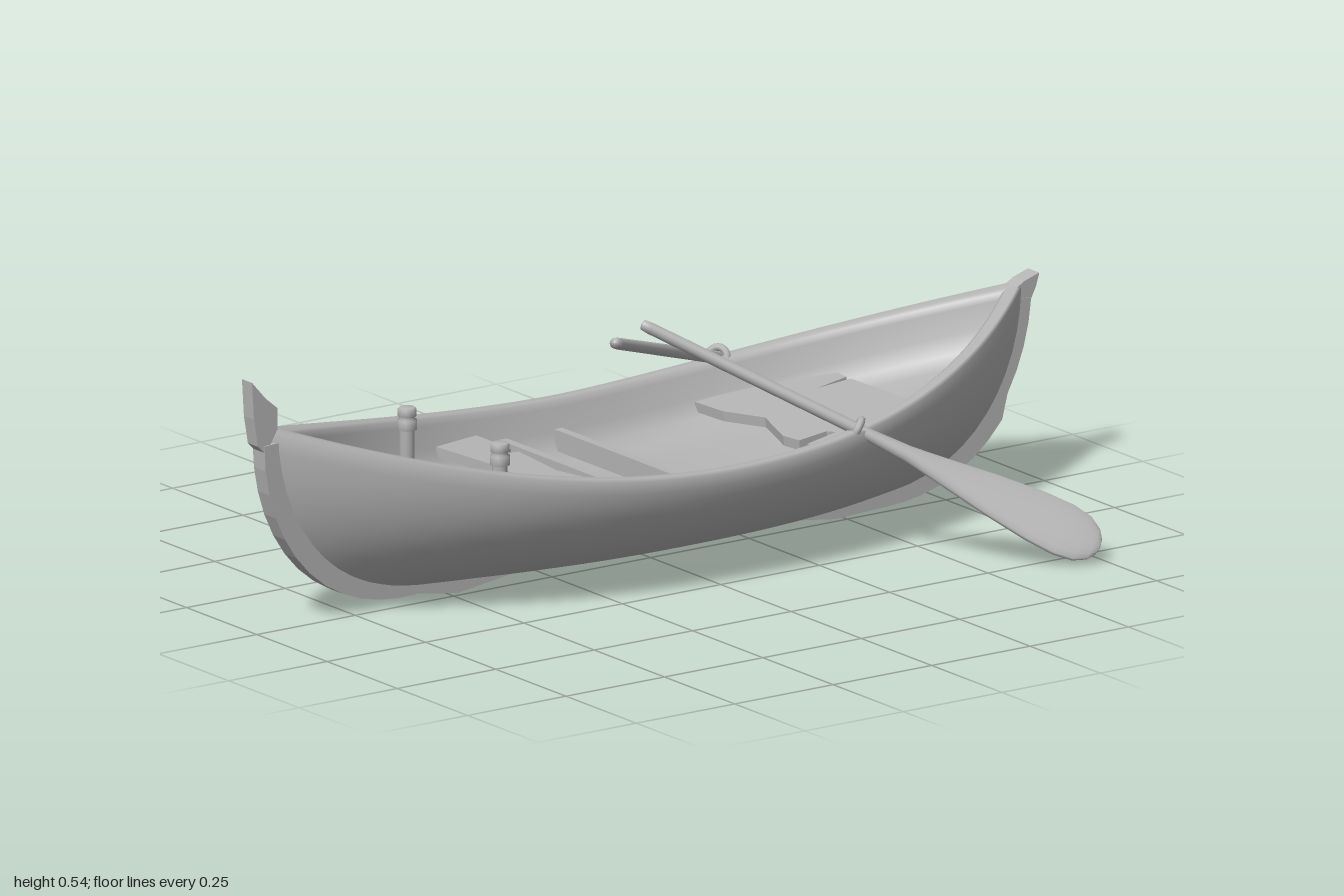
import * as THREE from 'three';

const wood = new THREE.MeshStandardMaterial({ color: 0xb4b4b4 });
wood.name = 'grey wood';
const MID = -0.035; // z of the boat's centreline
const V = (x, y, z) => new THREE.Vector3(x, y, z);

const sheer = x => 0.26 + 0.172 * Math.pow(Math.abs(x - 0.01) / 0.97, 1.9);

// Skin a grid of points; row direction x column direction points outward
function loft(rows) {
  const n = rows[0].length, index = [];
  for (let r = 0; r < rows.length - 1; r++)
    for (let c = 0; c < n - 1; c++) {
      const a = r * n + c, b = a + n;
      index.push(a, b, a + 1, b, b + 1, a + 1);
    }
  const g = new THREE.BufferGeometry().setFromPoints(rows.flat());
  g.setIndex(index);
  g.computeVertexNormals();
  return g;
}

function add(parent, name, geometry, x = 0, y = 0, z = 0) {
  const m = new THREE.Mesh(geometry, wood);
  m.name = name;
  m.position.set(x, y, z);
  parent.add(m);
  return m;
}

// Side outline [x, y] given a thickness across the boat
function slab(points, width) {
  const s = new THREE.Shape(points.map(p => new THREE.Vector2(...p)));
  return new THREE.ExtrudeGeometry(s, { depth: width, bevelEnabled: false }).translate(0, 0, -width / 2);
}

// Plan outline [x, z] given a thickness upward
function board(points, thick) {
  const s = new THREE.Shape(points.map(([x, z]) => new THREE.Vector2(x, -z)));
  return new THREE.ExtrudeGeometry(s, { depth: thick, bevelEnabled: false }).rotateX(-Math.PI / 2);
}

// Hull profile at depth angle a (0 = rim, PI/2 = bottom)
const endX = (side, a) => (side < 0 ? -0.58 - 0.38 * Math.cos(a) : 0.6 + 0.375 * Math.cos(a));
const hullY = (x, a) => THREE.MathUtils.lerp(sheer(x), 0.03, Math.sin(a));

function hullGeometry() {
  // Inner lines from the floor to the rim: end, end, half width, height against the sheer
  const inner = [
    [-0.55, 0.57, 0, -0.115], [-0.68, 0.7, 0.13, -0.115], [-0.79, 0.82, 0.235, -0.112],
    [-0.835, 0.87, 0.268, -0.095], [-0.858, 0.895, 0.286, -0.06], [-0.875, 0.91, 0.3, -0.012],
    [-0.882, 0.917, 0.306, 0.001], [-0.895, 0.93, 0.312, 0.005], [-0.945, 0.965, 0.332, 0.005],
  ];
  const lines = inner.map(([x0, x1, w, dy]) => ({ x0, x1, w, y: x => sheer(x) + dy }));
  for (let i = 0; i <= 14; i++) {
    const a = (i / 14) * Math.PI / 2;
    lines.push({ x0: endX(-1, a), x1: endX(1, a), w: 0.342 * Math.cos(a), y: x => hullY(x, a) });
  }
  const row = (l, side) => Array.from({ length: 65 }, (_, i) => {
    const u = Math.sin((i / 32 - 1) * Math.PI / 2);
    const x = THREE.MathUtils.lerp(l.x0, l.x1, (u + 1) / 2);
    return V(x, l.y(x), MID + side * l.w * (1 - Math.pow(Math.abs(u), 2.5)));
  });
  return loft([...lines.map(l => row(l, 1)), ...lines.slice(0, -1).reverse().map(l => row(l, -1))]);
}

// Band that follows the end of the hull and runs under the bottom
function keelBand(side, proud) {
  const outer = [], inside = [];
  for (let i = 0; i <= 12; i++) {
    const a = 0.08 + (i / 12) * (Math.PI / 2 - 0.08);
    const x = endX(side, a), y = hullY(x, a);
    const off = proud(i / 12);
    outer.push([x + side * off * Math.cos(a), y - off * Math.sin(a)]);
    inside.push([x - side * 0.03 * Math.cos(a), y + 0.02 * Math.sin(a)]);
  }
  outer.push([side * 0.48, 0.003], [side * 0.34, 0.022]);
  inside.push([side * 0.34, 0.035]);
  return slab([...outer, ...inside.reverse()], 0.042);
}

// Oar from grip to blade tip; the blade is turned about the shaft
function buildOar(name, grip, tip, lockAt, side) {
  const oar = new THREE.Group();
  oar.name = name;
  const d = tip.clone().sub(grip), dir = d.clone().normalize();
  const h = dir.clone().cross(V(0, 1, 0)).normalize().multiplyScalar(side);
  const up = V(0, 1, 0).addScaledVector(dir, -dir.y).normalize();
  const wide = h.multiplyScalar(-0.59).addScaledVector(up, 0.81).normalize();
  const thin = wide.clone().cross(dir);
  // Along the oar: fraction, half width, half thickness
  const sections = [
    [0, 0, 0], [0.003, 0.011, 0.011], [0.02, 0.0125, 0.0125], [0.5, 0.0135, 0.0135], [0.58, 0.018, 0.014],
    [0.66, 0.03, 0.012], [0.76, 0.046, 0.011], [0.86, 0.058, 0.01], [0.92, 0.06, 0.01],
    [0.96, 0.053, 0.009], [0.985, 0.037, 0.008], [0.997, 0.018, 0.006], [1, 0, 0],
  ];
  add(oar, name + 'Shaft', loft(sections.map(([s, w, t]) => Array.from({ length: 17 }, (_, i) => {
    const q = (i / 16) * Math.PI * 2;
    return grip.clone().addScaledVector(d, s)
      .addScaledVector(wide, w * Math.cos(q)).addScaledVector(thin, t * Math.sin(q));
  }))));
  // Ring and pin that hold the shaft on the rim
  const p = grip.clone().addScaledVector(d, lockAt);
  const ring = add(oar, 'oarlockRing', new THREE.TorusGeometry(0.022, 0.008, 8, 20), p.x, p.y, p.z);
  ring.quaternion.setFromUnitVectors(V(0, 0, 1), dir);
  add(oar, 'oarlockPin', new THREE.CylinderGeometry(0.008, 0.008, 0.05, 10), p.x, p.y - 0.042, p.z);
  return oar;
}

export function createModel() {
  const boat = new THREE.Group();
  boat.name = 'rowingBoat';
  add(boat, 'hull', hullGeometry());

  // Keel bands, the stern one worn away in its upper part
  add(boat, 'bowKeelBand', keelBand(-1, t => 0.012 + 0.014 * Math.sin(t * Math.PI)), 0, 0, MID);
  add(boat, 'sternKeelBand', keelBand(1, t => (t < 0.4 ? 0.003 : 0.022)), 0, 0, MID);

  // Splintered bow post and small stern cap
  add(boat, 'bowPost', slab([
    [-0.965, 0.38], [-0.935, 0.43], [-0.935, 0.475], [-0.965, 0.5], [-1, 0.54], [-0.995, 0.46], [-0.985, 0.4],
  ], 0.036), 0, 0, MID);
  add(boat, 'sternCap', slab([
    [0.935, 0.42], [0.96, 0.435], [0.998, 0.447], [0.99, 0.42], [0.975, 0.39], [0.95, 0.39],
  ], 0.04), 0, 0, MID);

  // Broken seat boards
  add(boat, 'frontSeat', board([
    [-0.33, 0.22], [-0.338, 0.105], [-0.305, 0.095], [-0.335, 0.075], [-0.32, -0.1], [-0.338, -0.29],
    [-0.22, -0.312], [-0.22, -0.19], [-0.255, -0.17], [-0.22, -0.16], [-0.238, 0], [-0.215, 0.1], [-0.22, 0.24],
  ], 0.022), 0, 0.208, 0);
  const rear = add(boat, 'rearSeat', board([
    [0, 0.225], [0, 0.1], [0.08, 0.09], [0.07, 0.07], [0, 0.07], [-0.005, 0.02], [0.035, -0.1],
    [0, -0.2], [-0.005, -0.295], [0.15, -0.275], [0.295, -0.22], [0.29, -0.165], [0.21, -0.158],
    [0.29, -0.15], [0.295, 0.05], [0.28, 0.13], [0.15, 0.19],
  ], 0.022), 0.33, 0.195, 0);
  rear.rotation.z = 0.12;

  // Floor ribs
  for (const x of [-0.15, -0.01])
    add(boat, 'floorRib', new THREE.BoxGeometry(0.02, 0.045, 0.56), x, 0.187, MID);

  // Mooring posts with collared heads
  const post = [[0, 0.15], [0.016, 0.15], [0.016, 0.305], [0.021, 0.308], [0.021, 0.328],
    [0.015, 0.332], [0.02, 0.337], [0.02, 0.35], [0.016, 0.355], [0, 0.355]];
  for (const side of [-1, 1]) {
    const g = new THREE.LatheGeometry(post.map(p => new THREE.Vector2(...p)), 16);
    add(boat, side > 0 ? 'leftPost' : 'rightPost', g, -0.467, 0, -0.047 + side * 0.165);
  }

  boat.add(buildOar('frontOar', V(-0.015, 0.505, -0.012), V(0.735, 0.035, 0.57), 0.47, 1));
  boat.add(buildOar('backOar', V(-0.043, 0.455, -0.07), V(0.825, 0.135, -0.57), 0.515, -1));
  return boat;
}
